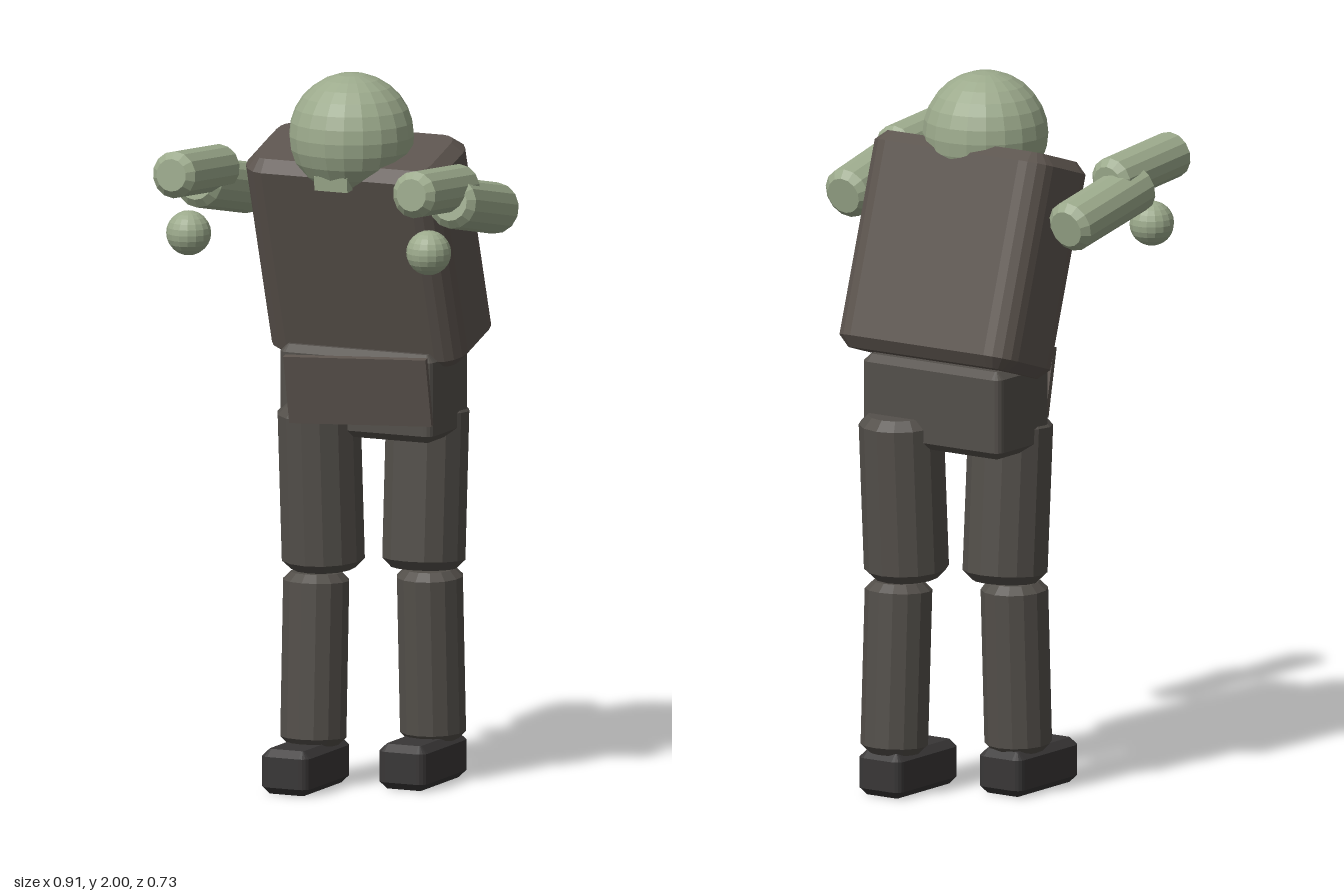
import * as THREE from 'three';

const mat = (color) => new THREE.MeshStandardMaterial({ color, flatShading: true });

// Box with rounded upright edges (radius r) and chamfered ends (bevel b)
function block(w, h, d, r, b) {
  const x = w / 2, y = d / 2;
  const s = new THREE.Shape();
  s.moveTo(-x + r, -y);
  s.lineTo(x - r, -y);
  s.absarc(x - r, -y + r, r, -Math.PI / 2, 0);
  s.lineTo(x, y - r);
  s.absarc(x - r, y - r, r, 0, Math.PI / 2);
  s.lineTo(-x + r, y);
  s.absarc(-x + r, y - r, r, Math.PI / 2, Math.PI);
  s.lineTo(-x, -y + r);
  s.absarc(-x + r, -y + r, r, Math.PI, Math.PI * 1.5);
  const g = new THREE.ExtrudeGeometry(s, {
    depth: h - 2 * b, curveSegments: 2, bevelEnabled: true,
    bevelSegments: 1, bevelSize: b, bevelThickness: b, bevelOffset: -b,
  });
  return g.rotateX(-Math.PI / 2).center();
}

// Faceted limb with chamfered ends running from point a to point c
function limb(a, c, r, b, material) {
  const from = new THREE.Vector3(...a), to = new THREE.Vector3(...c);
  const len = from.distanceTo(to), h = len / 2;
  const profile = [[0, -h], [r - b, -h], [r, -h + b], [r, h - b], [r - b, h], [0, h]]
    .map(([x, y]) => new THREE.Vector2(x, y));
  const m = new THREE.Mesh(new THREE.LatheGeometry(profile, 14), material);
  m.position.copy(from).add(to).multiplyScalar(0.5);
  m.quaternion.setFromUnitVectors(new THREE.Vector3(0, 1, 0), to.sub(from).normalize());
  return m;
}

export function createModel() {
  const model = new THREE.Group();
  const skin = mat(0x9caa8c), coat = mat(0x5c544e), trousers = mat(0x534f4a), shoe = mat(0x383636);

  const add = (name, mesh, pos, rot) => {
    mesh.name = name;
    if (pos) mesh.position.set(...pos);
    if (rot) mesh.rotation.set(...rot);
    model.add(mesh);
  };

  // Head and jaw
  add('head', new THREE.Mesh(new THREE.SphereGeometry(0.173, 20, 14), skin), [0, 1.827, -0.02]);
  add('jaw', new THREE.Mesh(new THREE.BoxGeometry(0.1, 0.04, 0.08), skin), [0, 1.713, 0.075], [0.1, 0, 0]);

  // Torso leaning forward, hips and loose front flap
  add('torso', new THREE.Mesh(block(0.59, 0.605, 0.28, 0.07, 0.03), coat), [0, 1.503, -0.128], [0.31, 0, 0]);
  add('hips', new THREE.Mesh(block(0.468, 0.245, 0.248, 0.025, 0.02), trousers), [0, 1.1, -0.16]);
  add('frontFlap', new THREE.Mesh(new THREE.BoxGeometry(0.41, 0.195, 0.018), coat), [0.057, 1.13, 0.058], [0.2, 0.14, 0]);

  // Arms reaching forward, with hands hanging below
  for (const [side, s] of [['left', 1], ['right', -1]]) {
    add(side + 'UpperArm', limb([s * 0.376, 1.627, -0.165], [s * 0.386, 1.697, 0.165], 0.071, 0.02, skin));
    add(side + 'Forearm', limb([s * 0.365, 1.72, 0.045], [s * 0.365, 1.748, 0.367], 0.065, 0.02, skin));
    add(side + 'Hand', new THREE.Mesh(new THREE.SphereGeometry(0.062, 16, 12), skin), [s * 0.365, 1.57, 0.255]);
  }

  // Legs in mid stride: z of hip, lower thigh, knee, ankle and foot centre
  const stride = [
    ['left', 1, -0.243, -0.215, -0.25, -0.272, -0.206],
    ['right', -1, -0.075, -0.105, -0.063, -0.043, 0.005],
  ];
  for (const [side, s, hip, low, knee, ankle, foot] of stride) {
    add(side + 'Thigh', limb([s * 0.126, 0.6, low], [s * 0.126, 1.062, hip], 0.117, 0.026, trousers));
    add(side + 'Shin', limb([s * 0.128, 0.115, ankle], [s * 0.128, 0.592, knee], 0.093, 0.022, trousers));
    add(side + 'Foot', new THREE.Mesh(block(0.145, 0.125, 0.29, 0.025, 0.02), shoe), [s * 0.128, 0.0625, foot]);
  }
  return model;
}
